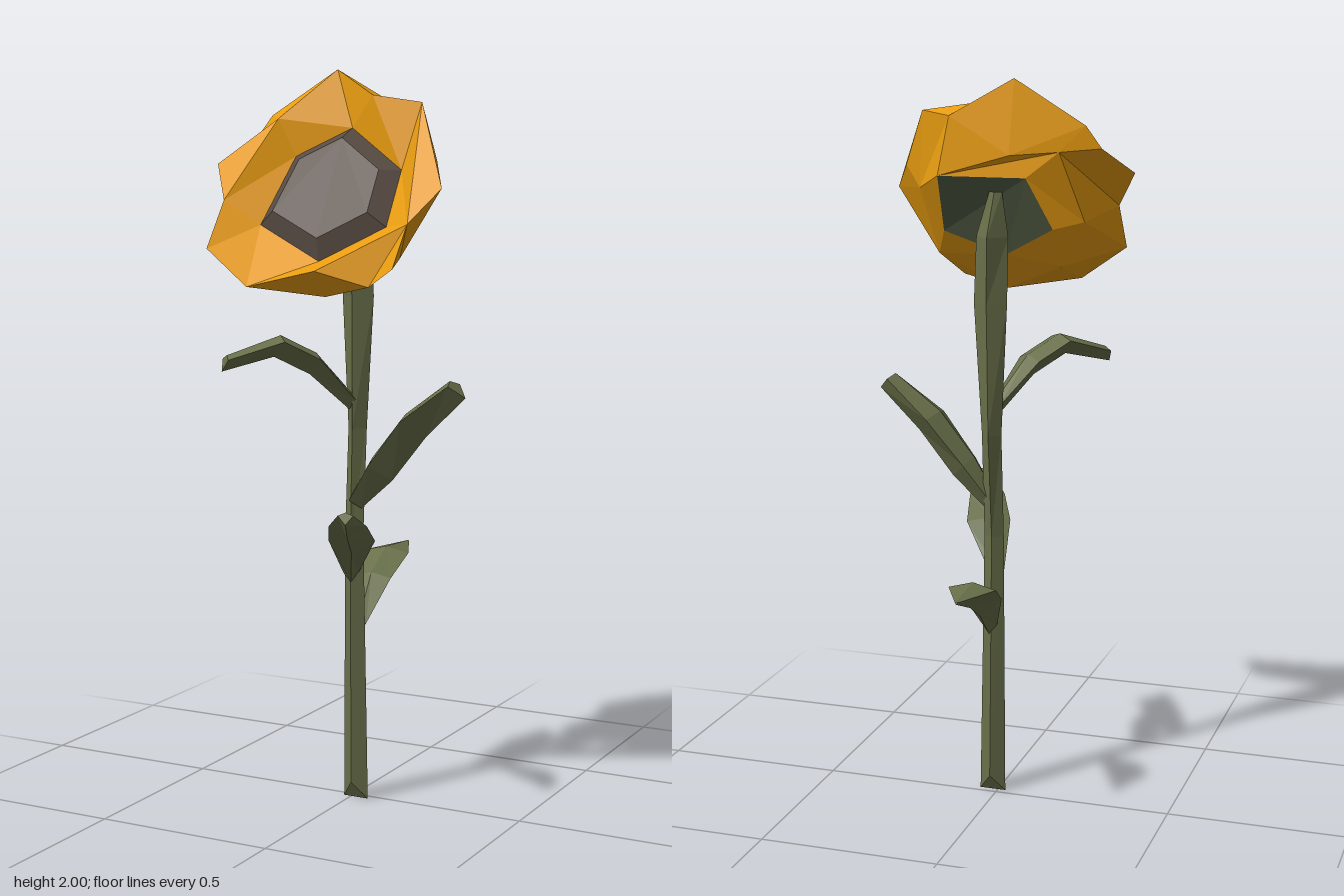
import * as THREE from 'three';

const mat = (name, color) => {
  const m = new THREE.MeshStandardMaterial({ color, flatShading: true, side: THREE.DoubleSide });
  m.name = name;
  return m;
};

// Unshared corners keep every face flat
function facets(name, tris, material) {
  const g = new THREE.BufferGeometry();
  g.setAttribute('position', new THREE.Float32BufferAttribute(tris.flat(2), 3));
  g.computeVertexNormals();
  const mesh = new THREE.Mesh(g, material);
  mesh.name = name;
  return mesh;
}

// Fan over a ring of points
const fan = (r) => r.slice(2).map((p, i) => [r[0], r[i + 1], p]);
const flip = (tris) => tris.map(([a, b, c]) => [a, c, b]);

// Skin through rings that have equal point counts, closed at both ends
function loft(rings) {
  const tris = [...flip(fan(rings[0])), ...fan(rings[rings.length - 1])];
  for (let k = 0; k + 1 < rings.length; k++) {
    const a = rings[k], b = rings[k + 1], n = a.length;
    for (let i = 0; i < n; i++) {
      const j = (i + 1) % n;
      tris.push([a[i], a[j], b[j]], [a[i], b[j], b[i]]);
    }
  }
  return tris;
}

// Join two rings of different counts around the flower centre
const angle = (p) => Math.atan2(p[1] - 1.68, p[0]);
function stitch(outer, inner) {
  const sorted = (r) => [...r].sort((a, b) => angle(a) - angle(b));
  const A = sorted(outer), B = sorted(inner), tris = [];
  const at = (r, i) => r[i % r.length];
  const ang = (r, i) => angle(at(r, i)) + (i >= r.length ? 2 * Math.PI : 0);
  let i = 0, j = 0;
  while (i < A.length || j < B.length) {
    if (j >= B.length || (i < A.length && ang(A, i + 1) <= ang(B, j + 1))) {
      tris.push([at(A, i), at(A, i + 1), at(B, j)]);
      i++;
    } else {
      tris.push([at(B, j), at(A, i), at(B, j + 1)]);
      j++;
    }
  }
  return tris;
}

// Keeled blade; stations are [x, y, z, halfWidth]
function leaf(name, keel, stations, material) {
  const pts = stations.map((s) => new THREE.Vector3(s[0], s[1], s[2]));
  const d = pts[pts.length - 1].clone().sub(pts[0]).normalize();
  const side = new THREE.Vector3(0, 1, 0).cross(d).normalize();
  const up = d.clone().cross(side);
  const rings = pts.map((p, k) => {
    const w = stations[k][3];
    const off = (s, n) => p.clone().addScaledVector(side, s).addScaledVector(up, n).toArray();
    const t = Math.min(keel, w * 1.8);
    return [off(w, 0), off(0, -t * 0.75), off(-w, 0), off(0, t * 0.25)];
  });
  return facets(name, loft(rings), material);
}

export function createModel() {
  const group = new THREE.Group();
  const leafGreen = mat('leaf green', 0x686f49);
  const calyxGreen = mat('calyx green', 0x525d45);
  const petalOrange = mat('petal orange', 0xe89c10);
  const seedBrown = mat('seed brown', 0x584c43);

  // Stem: four-sided, swelling under the flower [x, y, z, rx, rz, lift]
  const stem = [
    [0.015, 0, 0.02, 0.037, 0.03, 0.05],
    [0.014, 0.75, 0.028, 0.028, 0.023, 0],
    [0.016, 1.04, 0.012, 0.028, 0.032, 0],
    [0.022, 1.4, 0.02, 0.047, 0.037, 0],
    [0.02, 1.58, 0.03, 0.045, 0.05, 0],
    [0.01, 1.7, 0.028, 0.018, 0.012, 0],
  ].map(([x, y, z, rx, rz, lift]) => [
    [x + rx, y, z], [x, y + lift, z - rz], [x - rx, y, z], [x, y + lift, z + rz],
  ]);
  group.add(facets('stem', loft(stem), leafGreen));

  // Leaves
  group.add(leaf('upperRightLeaf', 0.06, [
    [0.01, 1.12, 0.03, 0.022], [-0.06, 1.235, 0.115, 0.05],
    [-0.13, 1.285, 0.185, 0.05], [-0.23, 1.24, 0.295, 0.025],
  ], leafGreen));
  group.add(leaf('upperLeftLeaf', 0.085, [
    [0.015, 0.845, 0.035, 0.025], [0.09, 0.95, 0.04, 0.05],
    [0.19, 1.075, 0.04, 0.065], [0.32, 1.175, 0.05, 0.035],
  ], leafGreen));
  group.add(leaf('frontLeaf', 0.05, [
    [0.01, 0.64, 0.04, 0.02], [0.07, 0.755, 0.15, 0.062],
    [0.1, 0.81, 0.23, 0.05], [0.143, 0.857, 0.325, 0.02],
  ], leafGreen));
  group.add(leaf('backLeaf', 0.07, [
    [0.02, 0.495, 0.01, 0.02], [0.01, 0.605, -0.09, 0.055],
    [0.005, 0.66, -0.19, 0.066], [0, 0.665, -0.335, 0.004],
  ], leafGreen));

  // Flower outline, clockwise: petal tips and the folds between them
  const rim = [
    [-0.05, 2, 0], [0.085, 1.93, 0.06], [0.222, 1.91, 0.045], [0.282, 1.76, 0.08],
    [0.34, 1.69, 0.175], [0.265, 1.6, 0.22], [0.265, 1.49, 0.305], [0.18, 1.44, 0.27],
    [0.045, 1.48, 0.31], [-0.15, 1.435, 0.32], [-0.285, 1.53, 0.295], [-0.285, 1.655, 0.205],
    [-0.345, 1.75, 0.135], [-0.28, 1.82, 0.035], [-0.24, 1.88, 0.02],
  ];
  const topFold = [-0.185, 1.87, 0.085];
  const eye = [
    [0.01, 1.845, 0.03], [-0.14, 1.77, 0.07], [-0.19, 1.59, 0.175],
    [0.01, 1.5, 0.22], [0.183, 1.59, 0.175], [0.18, 1.735, 0.08],
  ];
  const under = [
    [-0.04, 1.8, -0.015], [0.13, 1.9, -0.005], [0.24, 1.7, 0.07], [0.22, 1.51, 0.17],
    [0.04, 1.41, 0.24], [-0.14, 1.49, 0.14], [-0.22, 1.62, 0.09], [-0.17, 1.81, 0.01],
  ];
  const base = [
    [-0.08, 1.74, 0.005], [-0.14, 1.6, 0.06], [0.01, 1.52, 0.12],
    [0.185, 1.58, 0.11], [0.165, 1.74, 0],
  ];
  // Inner folds meet the eye; petals fall back beyond them
  const folds = [0, 1, 2, 5, 8, 9, 10, 11].map((i) => rim[i]).concat([topFold]);
  const petals = [
    rim.slice(2, 6), rim.slice(5, 9), [topFold, ...rim.slice(11), rim[0]],
  ];
  group.add(facets('petals', [
    ...stitch(folds, eye), ...petals.flatMap((p) => flip(fan(p))),
    ...flip(stitch(rim, under)), ...flip(stitch(under, base)),
  ], petalOrange));

  // Calyx behind the petals
  group.add(facets('calyx', flip(fan(base)), calyxGreen));

  // Seed disc: bevelled and raised along the tilt of the flower
  const centre = [0, 1.674, 0.125];
  const lift = [0, 0.017, 0.032];
  const disc = eye.map((p) => p.map((v, k) => centre[k] + (v - centre[k]) * 0.75 + lift[k]));
  group.add(facets('seedDisc', [...stitch(eye, disc), ...fan(disc)], seedBrown));

  return group;
}
